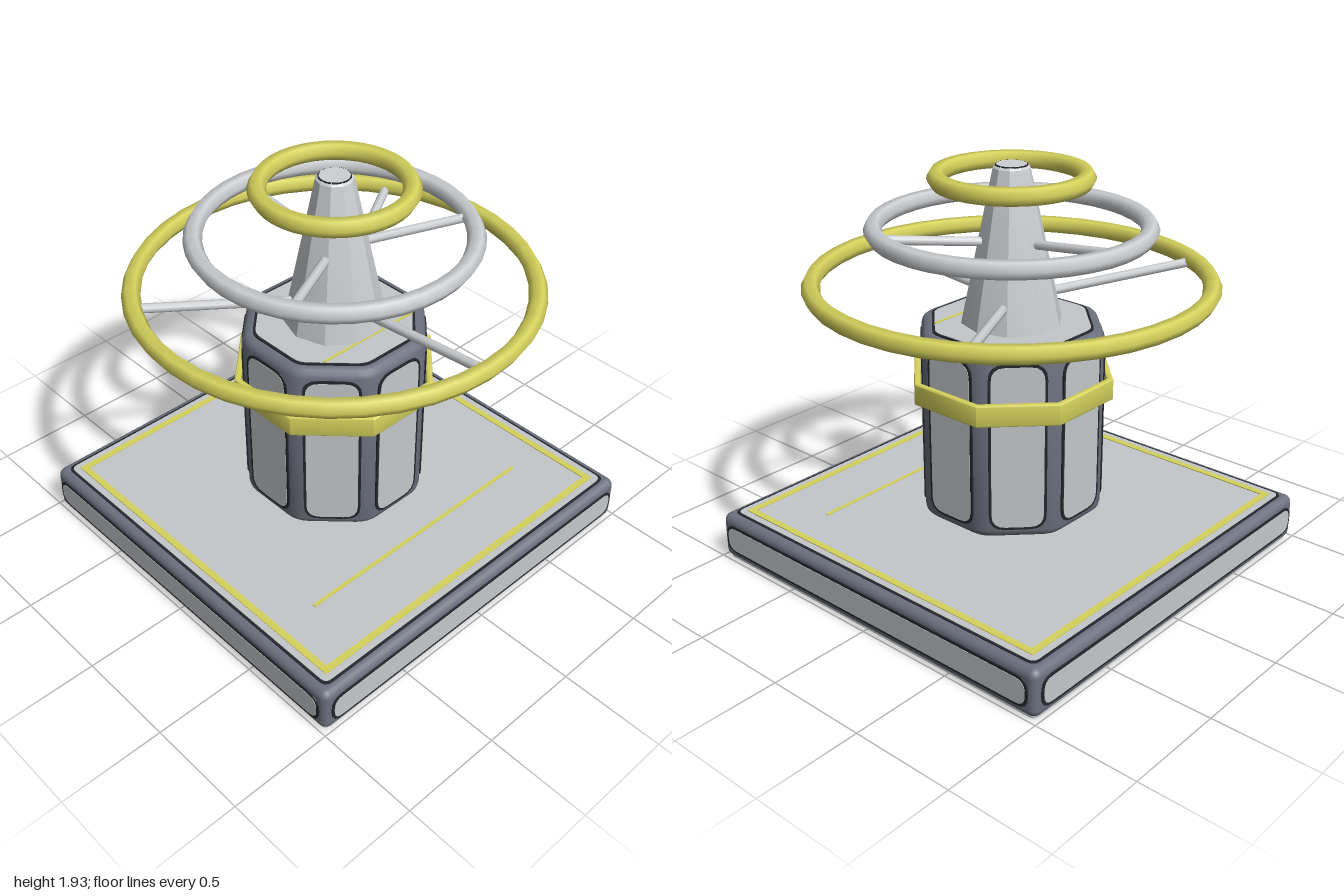
import * as THREE from 'three';
import { toCreasedNormals } from 'three/addons/utils/BufferGeometryUtils.js';
import { RoundedBoxGeometry } from 'three/addons/geometries/RoundedBoxGeometry.js';

function material(name, color) {
  const m = new THREE.MeshStandardMaterial({ color });
  m.name = name;
  return m;
}

// Closed polygon with softened corners
function roundedPolygon(points, r) {
  const shape = new THREE.Shape();
  const n = points.length;
  points.forEach((p, i) => {
    const before = points[(i + n - 1) % n].clone().sub(p).setLength(r).add(p);
    const after = points[(i + 1) % n].clone().sub(p).setLength(r).add(p);
    if (i === 0) shape.moveTo(before.x, before.y);
    else shape.lineTo(before.x, before.y);
    shape.quadraticCurveTo(p.x, p.y, after.x, after.y);
  });
  shape.closePath();
  return shape;
}

function rect(w, h, r) {
  const corners = [[-1, -1], [1, -1], [1, 1], [-1, 1]];
  return roundedPolygon(corners.map(([x, y]) => new THREE.Vector2(x * w / 2, y * h / 2)), r);
}

// Octagon with flat sides on the axes, sized by centre-to-side distance
function octagon(apothem, r) {
  const R = apothem / Math.cos(Math.PI / 8);
  const pts = [];
  for (let i = 0; i < 8; i++) {
    const a = (i + 0.5) * Math.PI / 4;
    pts.push(new THREE.Vector2(R * Math.cos(a), R * Math.sin(a)));
  }
  return roundedPolygon(pts, r);
}

function slab(shape, depth, bevel = 0) {
  return new THREE.ExtrudeGeometry(shape, {
    depth: depth - 2 * bevel, curveSegments: 4, bevelEnabled: bevel > 0,
    bevelSize: bevel, bevelThickness: bevel, bevelOffset: -bevel, bevelSegments: 3,
  }).translate(0, 0, bevel);
}

export function createModel() {
  const model = new THREE.Group();
  model.name = 'ringTower';
  const frame = material('slateFrame', 0x6c717e);
  const panel = material('paleGreyPanel', 0xc4c8cb);
  const seam = material('darkSeam', 0x25272d);
  const metal = material('lightMetal', 0xcdd0d3);
  const yellow = material('yellowTrim', 0xd6d25c);

  function add(name, geometry, mat, parent = model) {
    const mesh = new THREE.Mesh(geometry, mat);
    mesh.name = name;
    parent.add(mesh);
    return mesh;
  }

  // Horizontal slab from y upwards
  const flat = (name, shape, y, h, mat, bevel) =>
    add(name, toCreasedNormals(slab(shape, h, bevel).rotateX(-Math.PI / 2).translate(0, y, 0), 0.6), mat);

  // Panels with a dark border, repeated around the vertical axis
  function sidePanels(name, count, w, h, r, distance, y) {
    for (let i = 0; i < count; i++) {
      const group = new THREE.Group();
      group.name = name;
      group.rotation.y = i * Math.PI * 2 / count;
      add(name + 'Seam', slab(rect(w + 0.025, h + 0.025, r + 0.01), 0.018).translate(0, y, distance - 0.02), seam, group);
      add(name + 'Face', slab(rect(w, h, r), 0.02).translate(0, y, distance - 0.02), panel, group);
      model.add(group);
    }
  }

  // Square base
  add('baseFrame', new RoundedBoxGeometry(1.985, 0.23, 1.985, 3, 0.04).translate(0, 0.12, 0), frame);
  sidePanels('baseSidePanel', 4, 1.885, 0.12, 0.05, 1, 0.12);
  flat('baseTopSeam', rect(1.9, 1.9, 0.04), 0.22, 0.018, seam);
  flat('baseTopPanel', rect(1.875, 1.875, 0.035), 0.22, 0.02, panel);
  flat('baseBottomPanel', rect(1.95, 1.95, 0.03), 0, 0.02, panel);

  // Painted border and line on the base
  const border = rect(1.81, 1.81, 0.002);
  border.holes.push(rect(1.745, 1.745, 0.002));
  flat('baseBorderStripe', border, 0.24, 0.004, yellow);
  add('baseLineStripe', new THREE.BoxGeometry(0.018, 0.004, 1.36).translate(0.585, 0.242, 0), yellow);

  // Octagonal drum hovering just above the base
  flat('drumFrame', octagon(0.416, 0.06), 0.28, 0.91, frame, 0.04);
  sidePanels('drumSidePanel', 8, 0.24, 0.79, 0.065, 0.424, 0.735);
  flat('drumTopSeam', octagon(0.367, 0.04), 1.18, 0.016, seam);
  flat('drumTopPanel', octagon(0.355, 0.04), 1.18, 0.018, panel);
  flat('drumBottomSeam', octagon(0.367, 0.04), 0.276, 0.016, seam);
  flat('drumBottomPanel', octagon(0.355, 0.04), 0.274, 0.018, panel);
  for (const y of [1.2, 0.272]) {
    add('drumLineStripe', new THREE.BoxGeometry(0.012, 0.005, 0.55).translate(0.225, y, 0), yellow);
  }

  // Band around the drum
  const band = octagon(0.455, 0.004);
  band.holes.push(octagon(0.425, 0.004));
  flat('drumBand', band, 0.86, 0.105, yellow, 0.008);

  // Tapered mast with a chamfered tip
  const mastProfile = [[0, 1.19], [0.237, 1.19], [0.237, 1.2], [0.086, 1.915], [0.07, 1.93], [0, 1.93]];
  const mast = new THREE.LatheGeometry(mastProfile.map(([x, y]) => new THREE.Vector2(x, y)), 10);
  add('mast', toCreasedNormals(mast, 0.4), metal);
  add('mastTipSeam', new THREE.TorusGeometry(0.07, 0.005, 4, 20).rotateX(Math.PI / 2).translate(0, 1.925, 0), seam);

  // Three rings, largest at the bottom
  const ring = (name, radius, y, mat) =>
    add(name, new THREE.TorusGeometry(radius, 0.043, 6, 40).rotateX(Math.PI / 2).translate(0, y, 0), mat);
  ring('lowerRing', 0.91, 1.39, yellow);
  ring('middleRing', 0.622, 1.643, metal);
  ring('upperRing', 0.335, 1.87, yellow);

  // Sloping spokes, three to each of the two larger rings
  function spokes(name, startAngle, r0, y0, r1, y1) {
    const length = Math.hypot(r1 - r0, y1 - y0);
    for (let i = 0; i < 3; i++) {
      const spoke = add(name, new THREE.CylinderGeometry(0.022, 0.022, length, 8), metal);
      const a = startAngle + i * Math.PI * 2 / 3;
      const dir = new THREE.Vector3((r1 - r0) * Math.cos(a), y1 - y0, (r1 - r0) * Math.sin(a)).normalize();
      spoke.quaternion.setFromUnitVectors(new THREE.Vector3(0, 1, 0), dir);
      const r = (r0 + r1) / 2;
      spoke.position.set(r * Math.cos(a), (y0 + y1) / 2, r * Math.sin(a));
    }
  }
  spokes('lowerSpoke', 0, 0.19, 1.315, 0.88, 1.38);
  spokes('middleSpoke', Math.PI, 0.14, 1.585, 0.59, 1.637);

  return model;
}
